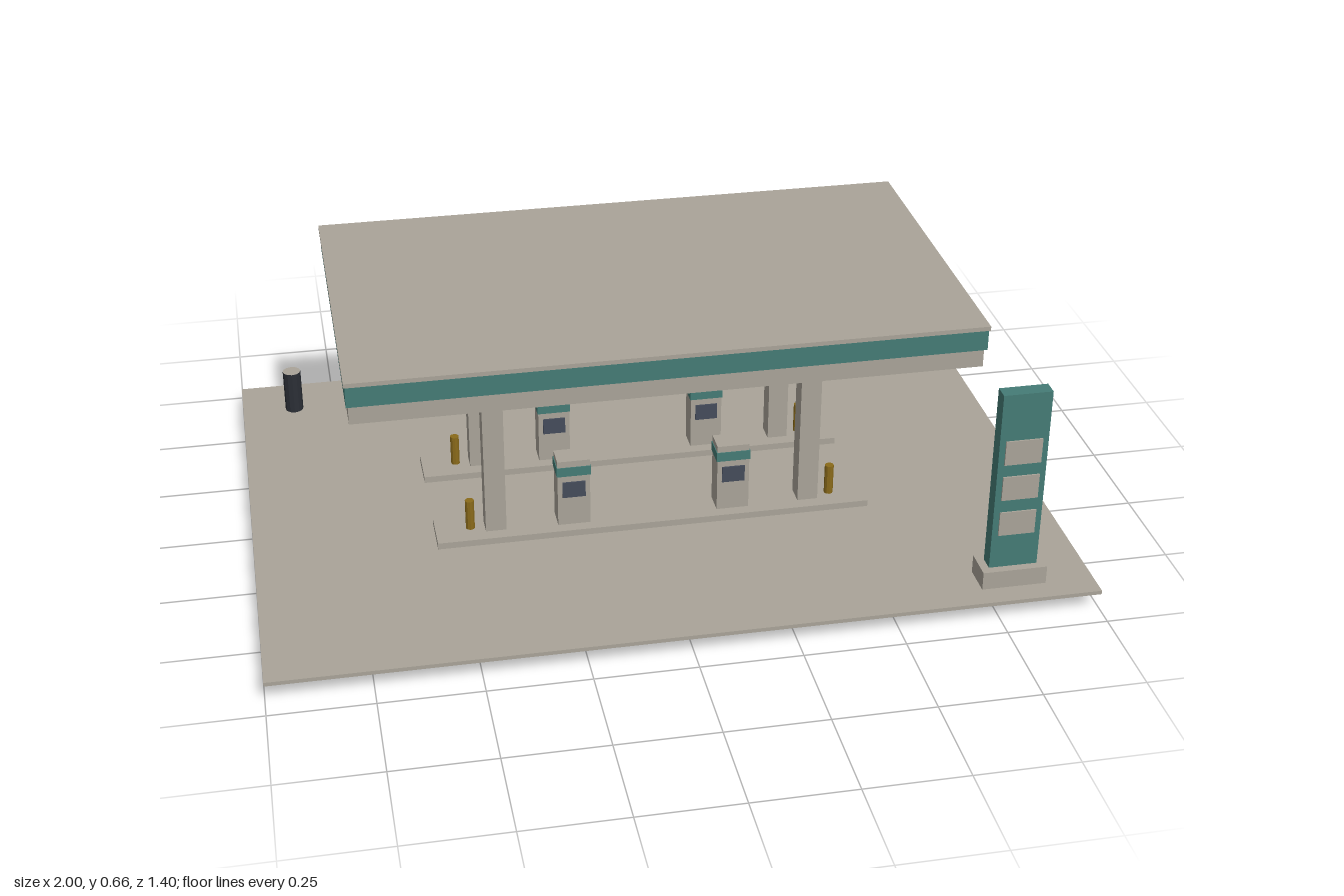
import * as THREE from 'three';

export function createModel() {
  const root = new THREE.Group();
  root.name = 'fuelStation';

  const mat = (name, color, side = THREE.FrontSide) => {
    const m = new THREE.MeshStandardMaterial({ color, side });
    m.name = name;
    return m;
  };
  const concrete = mat('concrete', 0xaaa499, THREE.DoubleSide);
  const teal = mat('teal', 0x457c76);
  const glass = mat('darkGlass', 0x454c5b);
  const gold = mat('safetyGold', 0x8a6a1a);
  const charcoal = mat('charcoal', 0x2b2f36);

  // Box given by its limits on each axis
  const box = (parent, name, material, [x0, x1], [y0, y1], [z0, z1]) => {
    const mesh = new THREE.Mesh(new THREE.BoxGeometry(x1 - x0, y1 - y0, z1 - z0), material);
    mesh.position.set((x0 + x1) / 2, (y0 + y1) / 2, (z0 + z1) / 2);
    mesh.name = name;
    parent.add(mesh);
    return mesh;
  };
  const post = (parent, name, material, r, x, y0, y1, z, sides) => {
    const mesh = new THREE.Mesh(new THREE.CylinderGeometry(r, r, y1 - y0, sides).toNonIndexed(), material);
    mesh.geometry.computeVertexNormals();
    mesh.position.set(x, (y0 + y1) / 2, z);
    mesh.name = name;
    parent.add(mesh);
    return mesh;
  };
  const group = (name) => {
    const g = new THREE.Group();
    g.name = name;
    root.add(g);
    return g;
  };

  // Forecourt slab
  box(root, 'forecourt', concrete, [-1, 1], [0.045, 0.055], [-0.7, 0.7]);

  // Canopy: soffit, coloured fascia and roof sheet
  const canopy = group('canopy');
  box(canopy, 'soffit', concrete, [-0.755, 0.755], [0.545, 0.6], [-0.42, 0.42]);
  box(canopy, 'fascia', teal, [-0.76, 0.76], [0.594, 0.647], [-0.43, 0.43]);
  box(canopy, 'roofSheet', concrete, [-0.763, 0.763], [0.647, 0.658], [-0.434, 0.434]);

  // Two pump islands with columns, bollards and pumps
  for (const z of [-0.1615, 0.1615]) {
    const island = group('pumpIsland');
    box(island, 'kerb', concrete, [-0.55, 0.55], [0.05, 0.072], [z - 0.06, z + 0.06]);
    for (const s of [-1, 1]) {
      const c = s * 0.4;
      box(island, 'column', concrete, [c - 0.026, c + 0.026], [0.07, 0.55], [z - 0.026, z + 0.026]);
      post(island, 'bollard', gold, 0.0115, s * 0.462, 0.07, 0.152, z, 10);

      const p = s * 0.203;
      box(island, 'pumpBody', concrete, [p - 0.041, p + 0.041], [0.07, 0.254], [z - 0.03, z + 0.03]);
      box(island, 'pumpBand', teal, [p - 0.043, p + 0.043], [0.212, 0.237], [z - 0.032, z + 0.032]);
      box(island, 'pumpScreen', glass, [p - 0.029, p + 0.029], [0.152, 0.195], [z + 0.029, z + 0.034]);
    }
  }

  // Shop: open-bottomed walls running below the slab
  const shop = group('shop');
  const walls = box(shop, 'walls', concrete, [-0.503, 0.295], [0, 0.36], [-0.692, -0.482]);
  const idx = Array.from(walls.geometry.index.array);
  idx.splice(18, 6); // drop the bottom face
  walls.geometry.setIndex(idx);
  walls.geometry.clearGroups();
  box(shop, 'roofFascia', [teal, teal, concrete, teal, teal, teal],
    [-0.508, 0.3], [0.349, 0.382], [-0.697, -0.477]);
  box(shop, 'window', glass, [-0.452, 0.1], [0.074, 0.312], [-0.484, -0.477]);
  box(shop, 'door', glass, [0.14, 0.257], [0.056, 0.27], [-0.482, -0.474]);

  // Rooftop cooling unit
  const cooler = group('coolingUnit');
  box(cooler, 'coolerBase', charcoal, [-0.4, -0.303], [0.381, 0.392], [-0.626, -0.583]);
  box(cooler, 'coolerBody', concrete, [-0.398, -0.307], [0.392, 0.447], [-0.617, -0.586]);
  box(cooler, 'coolerGrille', glass, [-0.388, -0.317], [0.398, 0.438], [-0.588, -0.584]);

  // Price sign with three panels
  const sign = group('priceSign');
  box(sign, 'signBase', concrete, [0.718, 0.878], [0.05, 0.102], [0.562, 0.642]);
  box(sign, 'signBoard', teal, [0.738, 0.858], [0.1, 0.575], [0.583, 0.621]);
  for (const y of [0.225, 0.323, 0.42]) {
    box(sign, 'signPanel', concrete, [0.753, 0.843], [y - 0.032, y + 0.032], [0.62, 0.625]);
  }

  // Litter bin with a pale lid
  post(root, 'litterBin', [charcoal, concrete, charcoal], 0.024, -0.861, 0.054, 0.171, -0.564, 12);

  return root;
}
